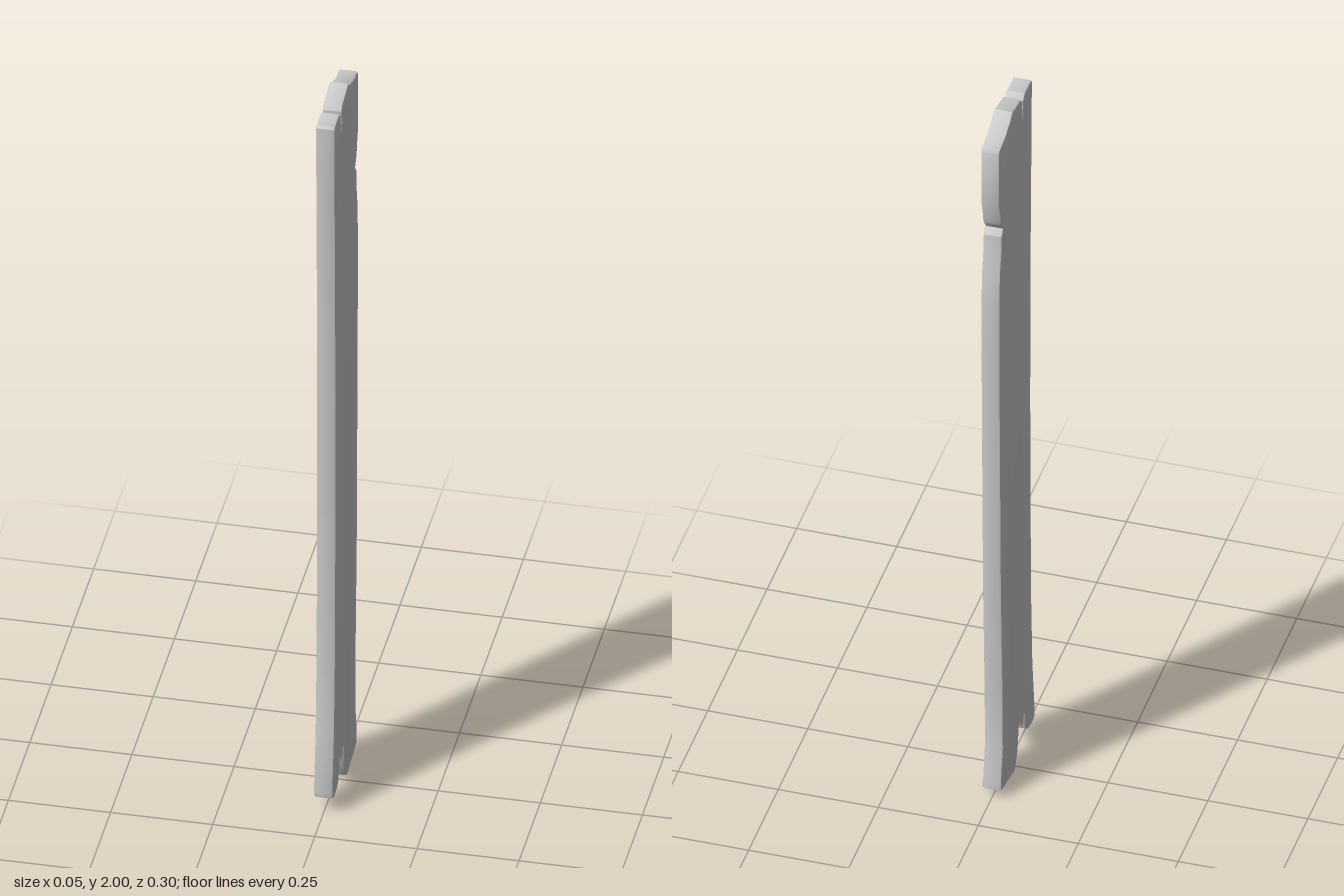
import * as THREE from 'three';
import { toCreasedNormals } from 'three/addons/utils/BufferGeometryUtils.js';

const THICKNESS = 0.047;
const BEVEL = 0.005;

// Outline edges as [z, y], running once around the board
const topEdge = [
  [0.128, 1.975], [0.122, 1.98], [0.068, 1.981], [0.053, 1.968], [0.054, 1.952], [0.047, 1.942], [0.048, 1.915],
  [0.043, 1.945], [0.044, 1.972], [0.034, 1.986], [-0.01, 1.994], [-0.036, 2.0],
  [-0.06, 1.982], [-0.072, 1.981], [-0.092, 1.97], [-0.145, 1.963],
];
const backEdge = [
  [-0.15, 1.955], [-0.149, 1.795], [-0.137, 1.755], [-0.133, 1.73], [-0.115, 1.706],
  [-0.129, 1.69], [-0.131, 1.645], [-0.143, 1.585], [-0.148, 1.5], [-0.148, 1.36],
  [-0.142, 1.0], [-0.135, 0.62], [-0.122, 0.32], [-0.119, 0.14], [-0.134, 0.05],
];
const bottomEdge = [
  [-0.135, 0.025], [-0.125, 0.02], [-0.022, 0.0], [-0.014, 0.004], [0.006, 0.045],
  [0.018, 0.11], [0.03, 0.118], [0.039, 0.09], [0.053, 0.09],
  [0.058, 0.115], [0.068, 0.11], [0.083, 0.053], [0.095, 0.043], [0.135, 0.037], [0.15, 0.046],
];
const frontEdge = [
  [0.152, 0.06], [0.132, 0.22], [0.122, 0.42], [0.116, 0.75], [0.114, 1.05],
  [0.118, 1.5], [0.124, 1.78],
];

export function createModel() {
  const group = new THREE.Group();
  group.name = 'weatheredPlank';

  const outline = [...topEdge, ...backEdge, ...bottomEdge, ...frontEdge]
    .map(([z, y]) => new THREE.Vector2(z, y));

  // Board with worn, bevelled rims; the bevel is cut inward from the outline
  const extruded = new THREE.ExtrudeGeometry(new THREE.Shape(outline), {
    depth: THICKNESS - 2 * BEVEL,
    bevelEnabled: true,
    bevelThickness: BEVEL,
    bevelSize: BEVEL,
    bevelOffset: -BEVEL,
    bevelSegments: 2,
  });
  extruded.translate(0, 0, BEVEL - THICKNESS / 2);
  extruded.rotateY(-Math.PI / 2); // outline x becomes z, thickness runs along x

  const board = new THREE.Mesh(
    toCreasedNormals(extruded, 0.6),
    new THREE.MeshStandardMaterial({ color: 0xcccccc }),
  );
  board.name = 'board';
  group.add(board);
  return group;
}
